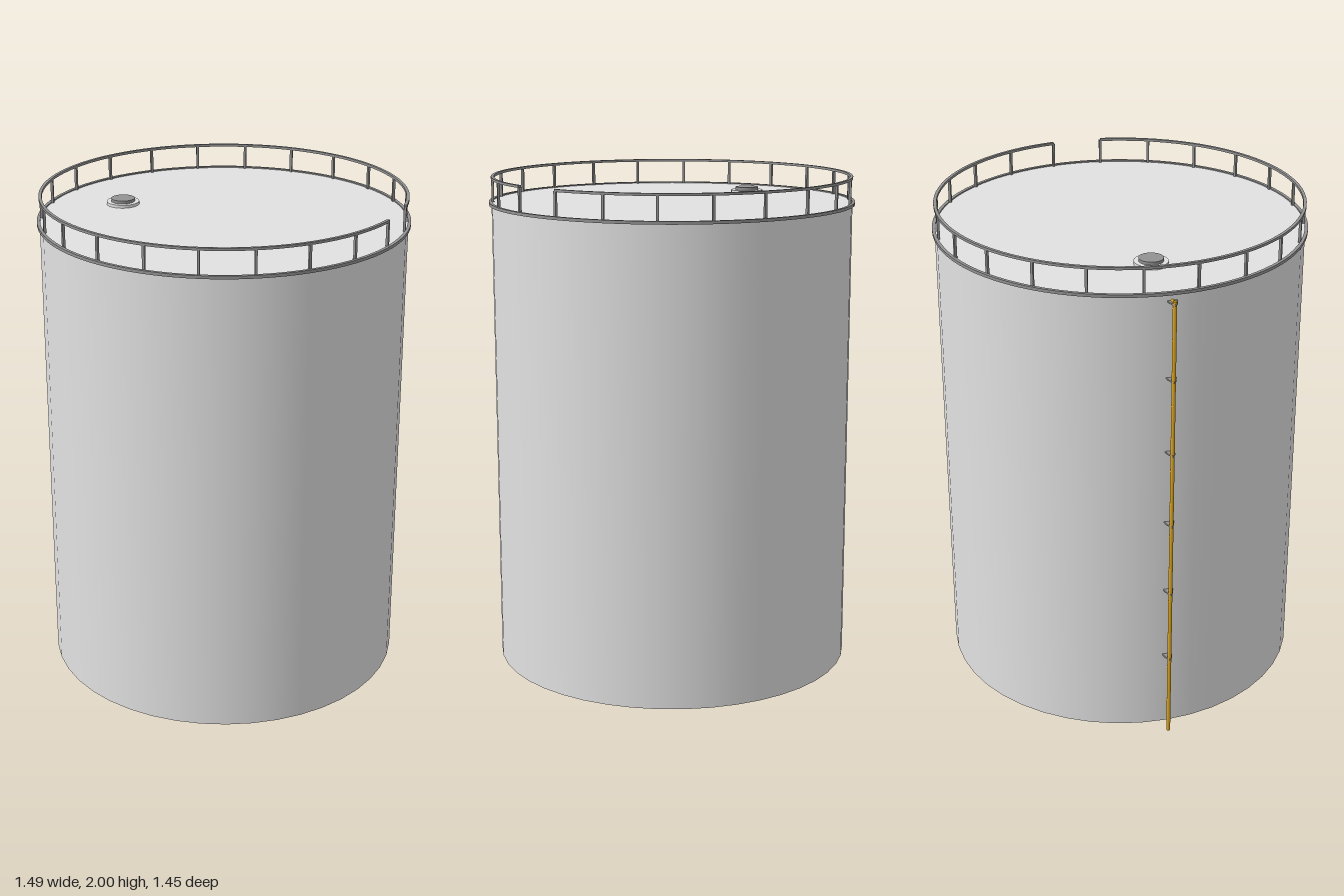
import * as THREE from 'three';

export function createModel() {
  const model = new THREE.Group();
  model.name = 'storageTank';
  const mat = (name, color) => {
    const m = new THREE.MeshStandardMaterial({ color });
    m.name = name;
    return m;
  };
  const shell = mat('tank light grey', 0xe2e2e2);
  const steel = mat('steel grey', 0x929292);
  const gold = mat('pipe yellow', 0xdba520);

  const CX = 0.015, R = 0.717, SIDES = 44;
  const add = (name, geometry, material, x, y, z, parent = model) => {
    const mesh = new THREE.Mesh(geometry, material);
    mesh.name = name;
    mesh.position.set(x, y, z);
    parent.add(mesh);
    return mesh;
  };
  const disc = (name, r, y0, y1, x, material, sides) =>
    add(name, new THREE.CylinderGeometry(r, r, y1 - y0, sides), material, x, (y0 + y1) / 2, 0);

  // Tank body: wall and roof light, floor (third material slot) darker
  disc('tankBody', R, 0.026, 1.896, CX, [shell, shell, steel], SIDES);

  // Flat ring or arc with a rectangular section, from angle a0 to a1
  const band = (r0, r1, h, a0, a1) => {
    const s = new THREE.Shape();
    s.absarc(0, 0, r1, a0, a1, false);
    s.absarc(0, 0, r0, a1, a0, true);
    const g = new THREE.ExtrudeGeometry(s, { depth: h, bevelEnabled: false, curveSegments: SIDES });
    return g.rotateX(-Math.PI / 2);
  };

  // Rim around the roof edge
  add('roofRim', band(0.714, 0.727, 0.012, 0, Math.PI * 2), steel, CX, 1.889, 0);

  // Guard rail: 22 posts, with one bay left open on the +x side
  const railing = new THREE.Group();
  railing.name = 'guardRail';
  model.add(railing);
  const POSTS = 22, step = Math.PI * 2 / POSTS, railR = 0.711;
  add('topRail', band(railR - 0.006, railR + 0.006, 0.01, step / 2, Math.PI * 2 - step / 2),
    steel, CX, 1.99, 0, railing);
  const postGeometry = new THREE.BoxGeometry(0.01, 0.1, 0.01);
  for (let i = 0; i < POSTS; i++) {
    const a = step * (i + 0.5);
    const post = add('railPost', postGeometry, steel,
      CX + Math.cos(a) * railR, 1.943, -Math.sin(a) * railR, railing);
    post.rotation.y = a;
  }

  // Roof hatch
  disc('hatchFlange', 0.065, 1.89, 1.908, -0.425, shell, 32);
  disc('hatchCap', 0.047, 1.9, 1.92, -0.425, steel, 32);

  // Vertical pipe on the -x side, with a short stub into the wall at the top
  disc('sidePipe', 0.008, 0, 1.875, -0.733, gold, 12);
  const stub = new THREE.CylinderGeometry(0.007, 0.007, 0.035, 12).rotateZ(Math.PI / 2);
  add('pipeStub', stub, gold, -0.7155, 1.864, 0);

  // Tapered brackets holding the pipe to the wall
  const wedge = new THREE.Shape();
  wedge.moveTo(-0.7, -0.019);
  wedge.lineTo(-0.7, 0.019);
  wedge.lineTo(-0.728, 0.012);
  wedge.lineTo(-0.745, 0);
  wedge.lineTo(-0.728, -0.012);
  // reversed order keeps the outline counter-clockwise
  const bracketGeometry = new THREE.ExtrudeGeometry(wedge, { depth: 0.006, bevelEnabled: false });
  bracketGeometry.rotateX(-Math.PI / 2);
  for (let i = 0; i < 6; i++) {
    add('pipeBracket', bracketGeometry, steel, 0, 0.345 + i * 0.303, 0);
  }
  return model;
}
